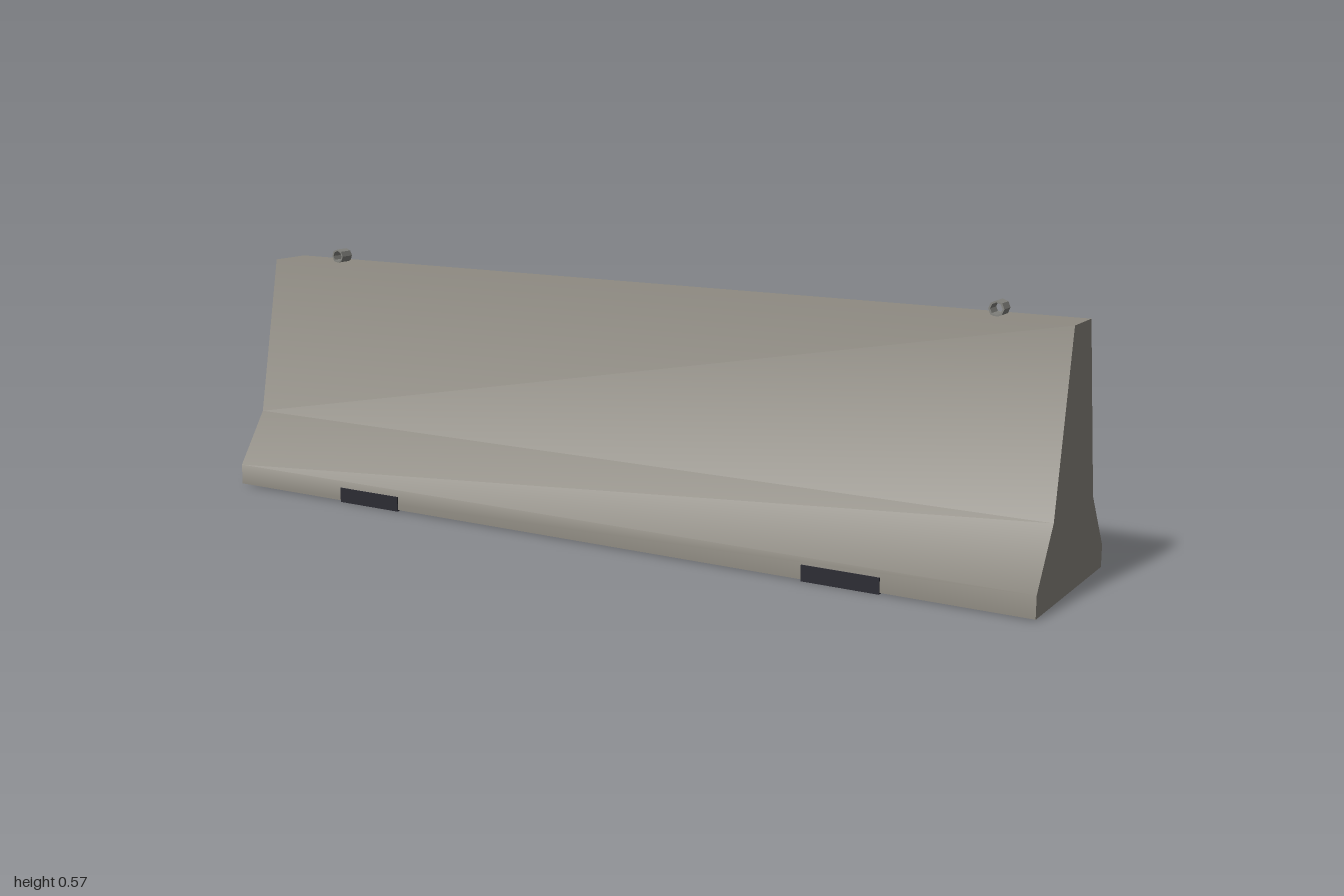
import * as THREE from 'three';
import { toCreasedNormals } from 'three/addons/utils/BufferGeometryUtils.js';

function material(name, color) {
  const m = new THREE.MeshStandardMaterial({ color });
  m.name = name;
  return m;
}

// Extrude a shape and centre it along the extrusion axis
function extrudeCentred(shape, depth, curveSegments = 8) {
  const g = new THREE.ExtrudeGeometry(shape, { depth, bevelEnabled: false, curveSegments });
  return g.translate(0, 0, -depth / 2);
}

export function createModel() {
  const concrete = material('concrete', 0x8f8b82);
  const rubber = material('dark rubber', 0x2b2b33);
  const steel = material('steel', 0x858580);

  const group = new THREE.Group();
  group.name = 'roadBarrier';

  function add(name, geometry, mat, x = 0, y = 0, z = 0) {
    const mesh = new THREE.Mesh(geometry, mat);
    mesh.name = name;
    mesh.position.set(x, y, z);
    group.add(mesh);
  }

  // Concrete body: mirrored profile swept along x, softly shaded flanks
  const half = [[0.2, 0.003], [0.2, 0.05], [0.12, 0.17], [0.05, 0.537]];
  const mirrored = half.map(([z, y]) => [-z, y]).reverse();
  const profile = new THREE.Shape([...half, ...mirrored].map(([z, y]) => new THREE.Vector2(z, y)));
  const body = extrudeCentred(profile, 2).rotateY(Math.PI / 2);
  add('barrierBody', toCreasedNormals(body, THREE.MathUtils.degToRad(40)), concrete);

  // Octagonal lifting ring
  const octagon = (r) => Array.from({ length: 8 }, (_, i) =>
    new THREE.Vector2(r * Math.cos(i * Math.PI / 4), r * Math.sin(i * Math.PI / 4)));
  const ringShape = new THREE.Shape(octagon(0.0165));
  ringShape.holes.push(new THREE.Path(octagon(0.0125).reverse()));
  const ring = extrudeCentred(ringShape, 0.034);

  // Foot pad wrapping under the base
  const pad = new THREE.BoxGeometry(0.17, 0.034, 0.406);

  for (const [side, s] of [['left', 1], ['right', -1]]) {
    add(side + 'FootPad', pad, rubber, s * 0.6, 0.017, 0);
    add(side + 'LiftingRing', ring, steel, s * 0.833, 0.5515, 0);
  }

  return group;
}
